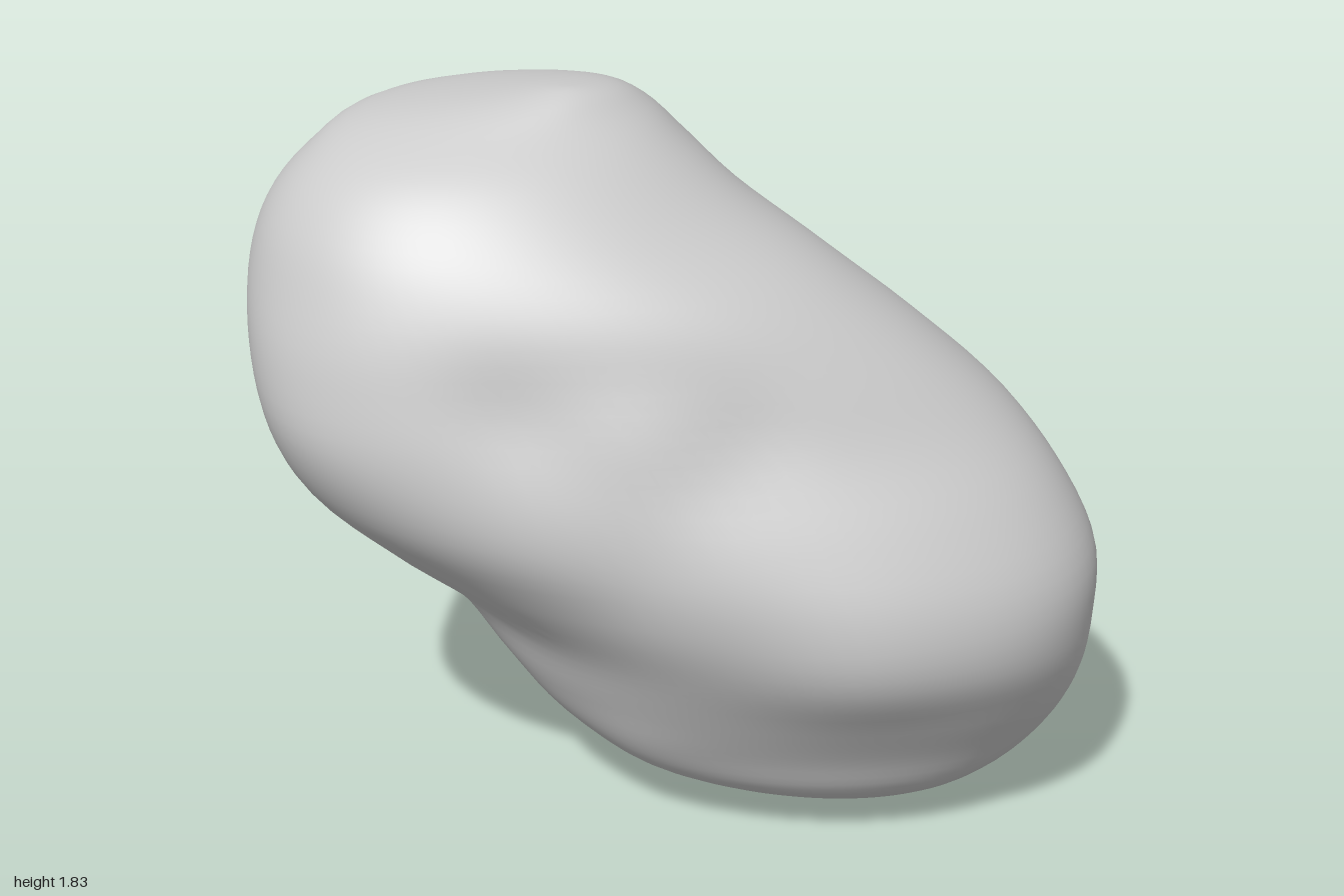
import * as THREE from 'three';
import { mergeVertices } from 'three/addons/utils/BufferGeometryUtils.js';

const HEIGHT = 1.83;

// Extents of level slices from bottom to top, at cosine-spaced heights
const X_MIN = [0.15, 0.02, -0.11, -0.23, -0.385, -0.52, -0.67, -0.86, -0.92, -0.94, -0.98, -1, -0.96, -0.87, -0.75, -0.43, -0.27];
const X_MAX = [0.15, 0.42, 0.66, 0.8, 0.9, 0.965, 0.995, 0.99, 0.9, 0.755, 0.57, 0.36, 0.14, -0.01, -0.11, -0.185, -0.27];
const Z_MIN = [-0.1, -0.23, -0.38, -0.505, -0.585, -0.645, -0.69, -0.72, -0.675, -0.615, -0.53, -0.45, -0.37, -0.3, -0.22, -0.08, 0.08];
const Z_MAX = [-0.1, 0, 0.13, 0.26, 0.34, 0.415, 0.495, 0.59, 0.685, 0.72, 0.69, 0.64, 0.575, 0.475, 0.32, 0.17, 0.08];
// How far the front and back of each slice lean diagonally in plan
const FRONT_SKEW = [0, -0.05, -0.13, -0.22, -0.25, -0.16, -0.04, -0.14, -0.36, -0.5, -0.45, -0.32, -0.26, -0.26, -0.25, -0.2, 0];
const BACK_SKEW = [0, 0, 0, 0, 0, 0, 0, 0, 0, 0, 0.02, 0.02, -0.05, -0.15, -0.2, -0.2, 0];

// Soft bumps (+) and hollows (-): x, y, z, radius, amount
const BUMPS = [
  [0.1, 0.88, 0.55, 0.15, -0.03],
  [-0.35, 0.55, 0.42, 0.16, -0.02],
  [0.02, 0.25, 0.28, 0.13, 0.03],
  [0.55, 0.6, 0.4, 0.2, 0.03],
  [-0.55, 1.35, 0.6, 0.25, 0.03],
  [0.1, 1.15, 0.5, 0.13, 0.03],
  [0.3, 1.15, 0.35, 0.1, -0.02],
  [-0.2, 1.2, 0.6, 0.12, -0.03],
  [0.02, 1.52, 0.1, 0.15, -0.015],
];

// Smooth interpolation through evenly spaced values
function sample(values, t) {
  const last = values.length - 1;
  const i = Math.min(Math.floor(t * last), last - 1);
  const f = t * last - i;
  const b = values[i], c = values[i + 1];
  const a = i > 0 ? values[i - 1] : 2 * b - c;
  const d = i + 2 <= last ? values[i + 2] : 2 * c - b;
  return b + 0.5 * f * (c - a + f * (2 * a - 5 * b + 4 * c - d + f * (3 * (b - c) + d - a)));
}

function surfacePoint(t, angle) {
  const x0 = sample(X_MIN, t), x1 = sample(X_MAX, t);
  const z0 = sample(Z_MIN, t), z1 = sample(Z_MAX, t);
  const y = HEIGHT * (1 - Math.cos(Math.PI * t)) / 2;
  const c = Math.cos(angle), s = Math.sin(angle);
  const skew = THREE.MathUtils.lerp(sample(BACK_SKEW, t), sample(FRONT_SKEW, t), (1 + s) / 2);
  const dx = (x1 - x0) / 2 * c;
  const dz = (z1 - z0) / 2 * (skew * c + Math.sqrt(1 - skew * skew) * s);
  const cx = (x0 + x1) / 2, cz = (z0 + z1) / 2;
  let scale = 1;
  for (const [bx, by, bz, r, amount] of BUMPS) {
    const d2 = (cx + dx - bx) ** 2 + (y - by) ** 2 + (cz + dz - bz) ** 2;
    scale += amount * Math.exp(-d2 / (r * r));
  }
  return [cx + dx * scale, y, cz + dz * scale];
}

export function createModel() {
  const group = new THREE.Group();
  group.name = 'boulder';

  // Closed skin wrapped over the slices
  const rows = 72, cols = 96;
  const positions = [], index = [];
  for (let j = 0; j <= rows; j++) {
    for (let i = 0; i < cols; i++) {
      positions.push(...surfacePoint(j / rows, i / cols * Math.PI * 2));
    }
  }
  for (let j = 0; j < rows; j++) {
    for (let i = 0; i < cols; i++) {
      const a = j * cols + i, b = j * cols + (i + 1) % cols;
      if (j < rows - 1) index.push(a, a + cols, b + cols);
      if (j > 0) index.push(a, b + cols, b);
    }
  }
  let geometry = new THREE.BufferGeometry();
  geometry.setAttribute('position', new THREE.Float32BufferAttribute(positions, 3));
  geometry.setIndex(index);
  geometry = mergeVertices(geometry, 1e-5);
  geometry.computeVertexNormals();

  const rock = new THREE.Mesh(geometry, new THREE.MeshStandardMaterial({ color: 0xcccccc }));
  rock.name = 'rock';
  group.add(rock);
  return group;
}
